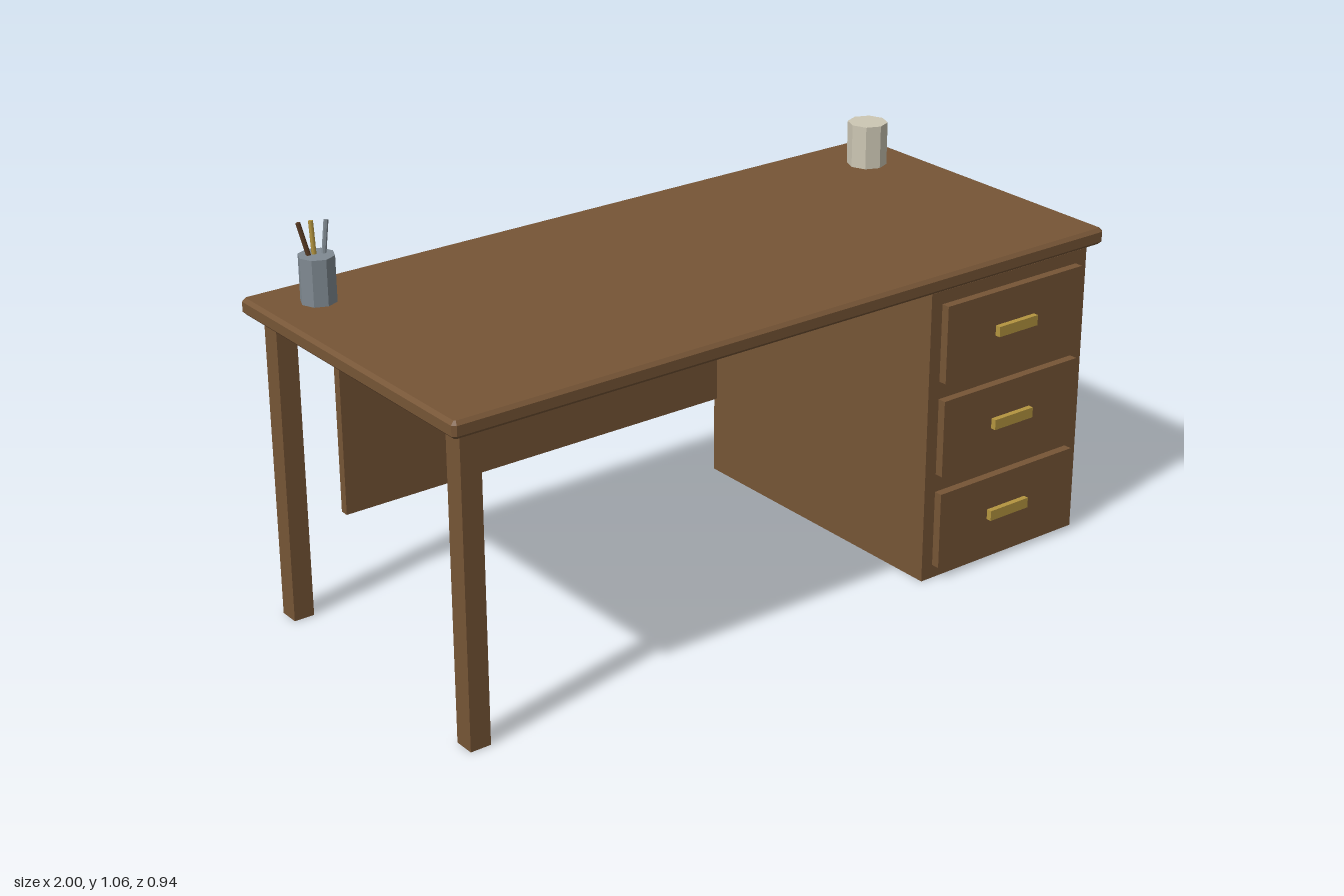
import * as THREE from 'three';

const mat = (name, color) => {
  const m = new THREE.MeshStandardMaterial({ color });
  m.name = name;
  return m;
};

export function createModel() {
  const wood = mat('wood', 0x765536);
  const brass = mat('brass', 0xb4953f);
  const steel = mat('steel', 0x808a92);
  const cream = mat('cream', 0xcdc7b4);
  const darkWood = mat('dark wood', 0x5a3c24);
  for (const m of [steel, cream]) m.flatShading = true;

  const desk = new THREE.Group();
  desk.name = 'desk';

  const add = (name, geometry, material, parent = desk) => {
    const mesh = new THREE.Mesh(geometry, material);
    mesh.name = name;
    parent.add(mesh);
    return mesh;
  };

  // Box given by its lower and upper bounds on each axis
  const box = (name, [x0, x1], [y0, y1], [z0, z1], material, parent) => {
    const mesh = add(name, new THREE.BoxGeometry(x1 - x0, y1 - y0, z1 - z0), material, parent);
    mesh.position.set((x0 + x1) / 2, (y0 + y1) / 2, (z0 + z1) / 2);
    return mesh;
  };

  // Tabletop: slab with every edge chamfered
  const w = 1, d = 0.468, b = 0.009, top = 0.858, bottom = 0.814;
  const outline = new THREE.Shape([
    [w - b, -d], [w, b - d], [w, d - b], [w - b, d],
    [b - w, d], [-w, d - b], [-w, b - d], [b - w, -d],
  ].map(([x, y]) => new THREE.Vector2(x, y)));
  const slab = new THREE.ExtrudeGeometry(outline, {
    depth: top - bottom - 2 * b, bevelEnabled: true,
    bevelSize: b, bevelOffset: -b, bevelThickness: b, bevelSegments: 1,
  });
  slab.rotateX(-Math.PI / 2);
  add('tabletop', slab, wood).position.y = bottom + b;

  // Legs on the open side
  for (const s of [1, -1]) {
    box(s > 0 ? 'frontLeg' : 'backLeg', [-0.96, -0.904], [0, 0.8],
      [s * 0.4 - 0.028, s * 0.4 + 0.028], wood);
  }

  // Drawer pedestal with three drawers and brass pulls
  const pedestal = new THREE.Group();
  pedestal.name = 'pedestal';
  desk.add(pedestal);
  box('cabinet', [0.434, 0.973], [0, 0.8], [-0.434, 0.434], wood, pedestal);
  [0.142, 0.402, 0.66].forEach((y, i) => {
    box(`drawerFront${i + 1}`, [0.47, 0.936], [y - 0.105, y + 0.105], [0.43, 0.457], wood, pedestal);
    box(`drawerPull${i + 1}`, [0.637, 0.77], [y - 0.014, y + 0.014], [0.455, 0.472], brass, pedestal);
  });

  // Modesty panel across the back
  box('modestyPanel', [-0.765, 0.54], [0.22, 0.748], [-0.446, -0.422], wood);

  // Eight-sided cups
  const cup = (name, x, z, r, material) => {
    const h = 0.977 - top;
    add(name, new THREE.CylinderGeometry(r, r, h, 8), material).position.set(x, top + h / 2, z);
  };
  cup('creamCup', 0.855, -0.296, 0.0545, cream);
  cup('pencilCup', -0.861, -0.331, 0.046, steel);

  // Pencils leaning out of the cup
  const pencil = (name, from, to, material) => {
    const a = new THREE.Vector3(...from), c = new THREE.Vector3(...to);
    const dir = c.clone().sub(a);
    const mesh = add(name, new THREE.CylinderGeometry(0.006, 0.006, dir.length(), 6), material);
    mesh.position.copy(a).add(c).multiplyScalar(0.5);
    mesh.quaternion.setFromUnitVectors(new THREE.Vector3(0, 1, 0), dir.normalize());
  };
  pencil('leftPencil', [-0.862, 0.9, -0.328], [-0.895, 1.059, -0.351], darkWood);
  pencil('middlePencil', [-0.863, 0.9, -0.331], [-0.863, 1.059, -0.346], brass);
  pencil('rightPencil', [-0.85, 0.9, -0.33], [-0.83, 1.059, -0.33], steel);

  return desk;
}
